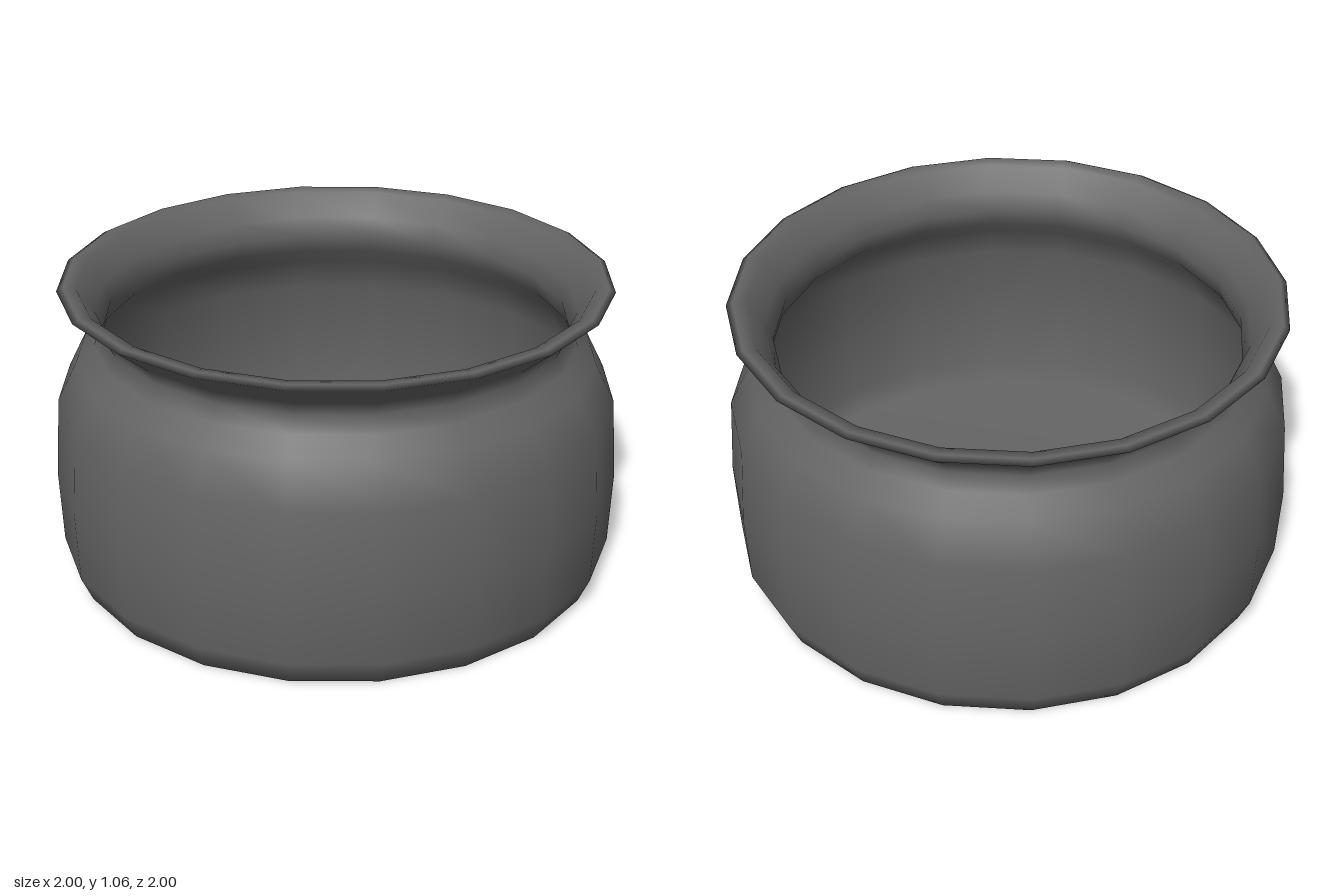
import * as THREE from 'three';

const SIDES = 20;

// Outer wall, from the edge of the base up to the lip
const OUTER = [
  [0.95, 0], [0.99, 0.09], [1, 0.35], [0.98, 0.64], [0.91, 0.78],
  [0.845, 0.84], [0.822, 0.9], [0.845, 0.95], [0.962, 1.045],
];
// Lip and inner wall, down to the edge of the floor
const INNER = [
  [0.94, 1.057], [0.895, 1.05], [0.837, 0.965], [0.813, 0.9], [0.832, 0.83],
  [0.89, 0.765], [0.955, 0.63], [0.975, 0.35], [0.965, 0.1], [0.92, 0.03],
];

// Closes one ring of a lathe with strips, its edge normals shared with the wall
function closeRing(geometry, rowLength, row, up) {
  const normal = geometry.attributes.normal;
  const n = new THREE.Vector3();
  const at = (i) => i * rowLength + row;
  for (let i = 0; i <= SIDES; i++) {
    n.fromBufferAttribute(normal, at(i));
    n.y += up;
    n.normalize();
    normal.setXYZ(at(i), n.x, n.y, n.z);
  }
  const faces = [];
  for (let k = 0; k < SIDES / 2; k++) {
    const [a, b, c, d] = [k, k + 1, SIDES - k - 1, SIDES - k].map(at);
    faces.push(...(up > 0 ? [a, b, c, a, c, d] : [a, c, b, a, d, c]));
  }
  geometry.setIndex([...geometry.index.array, ...faces]);
}

export function createModel() {
  const group = new THREE.Group();
  group.name = 'pot';
  const material = new THREE.MeshStandardMaterial({ color: 0x646464 });

  // Smooth-shaded turning for wall, flared rim and hollow
  const profile = [...OUTER, ...INNER].map(([r, y]) => new THREE.Vector2(r, y));
  const geometry = new THREE.LatheGeometry(profile, SIDES);
  closeRing(geometry, profile.length, 0, -1); // base
  closeRing(geometry, profile.length, profile.length - 1, 1); // inner floor

  const vessel = new THREE.Mesh(geometry, material);
  vessel.name = 'vessel';
  group.add(vessel);

  return group;
}
